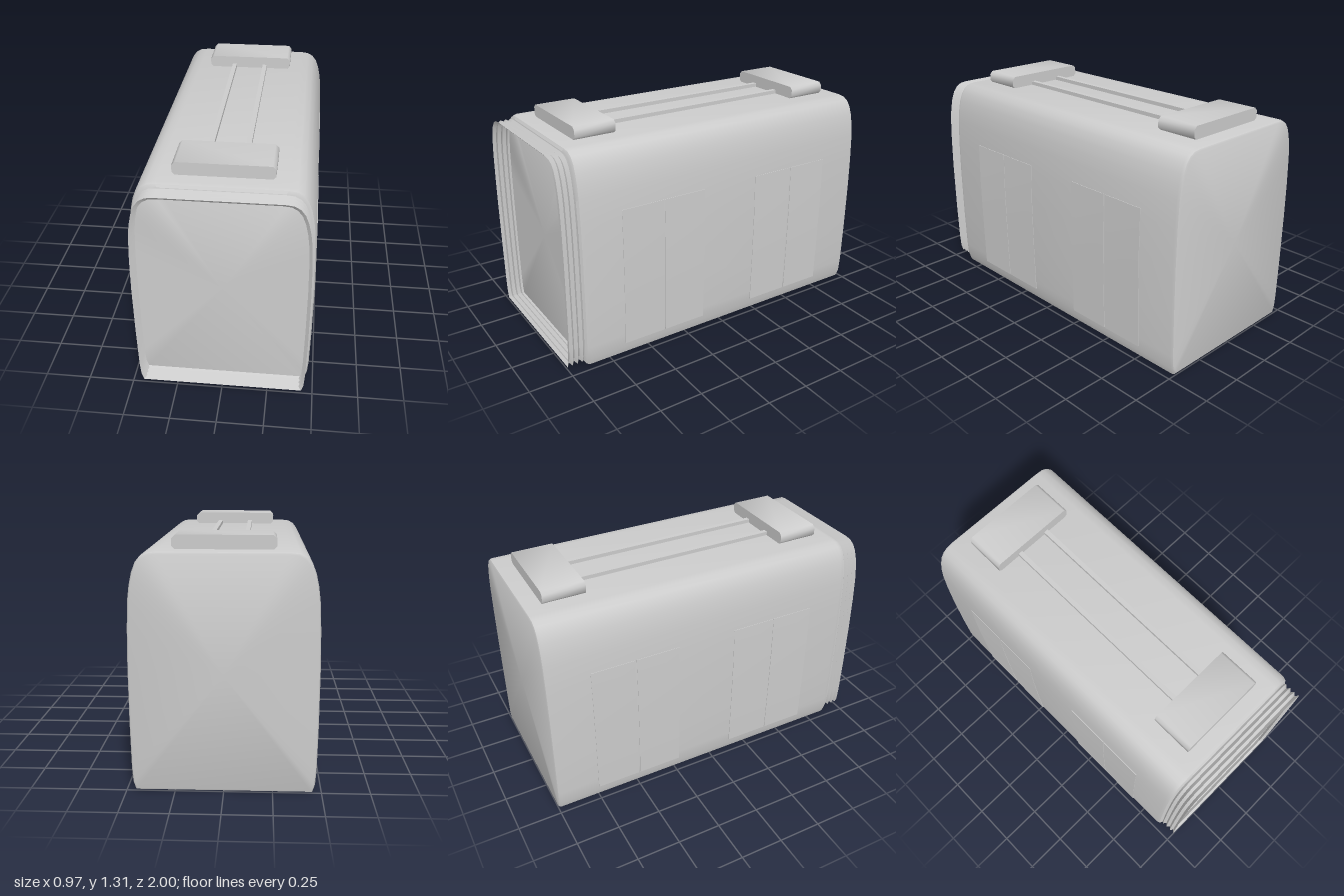
import * as THREE from 'three';
import { toCreasedNormals } from 'three/addons/utils/BufferGeometryUtils.js';

// Half cross-section of the car, from floor edge to roof edge: [x, y]
const HALF = [
  [0.455, 0], [0.468, 0.04], [0.474, 0.12], [0.479, 0.35], [0.481, 0.65],
  [0.478, 0.85], [0.471, 1.0], [0.462, 1.07], [0.449, 1.13], [0.43, 1.18],
  [0.405, 1.212], [0.372, 1.23], [0.33, 1.235],
];
const MID = 0.6175;

// Closed ring of the cross-section, moved inward by `inset`
function ring(inset) {
  const kx = 1 - inset / 0.481, ky = 1 - inset / MID;
  const right = HALF.map(([x, y]) => [x * kx, MID + (y - MID) * ky]);
  return [...right, ...right.map(([x, y]) => [-x, y]).reverse()];
}

// Skin through rings given as [z, inset], ordered back to front
function loft(sections, capped) {
  const pos = [], index = [], n = HALF.length * 2;
  for (const [z, inset] of sections) for (const [x, y] of ring(inset)) pos.push(x, y, z);
  for (let i = 0; i < sections.length - 1; i++) {
    for (let j = 0; j < n; j++) {
      const a = i * n + j, b = i * n + (j + 1) % n;
      index.push(a, b, b + n, a, b + n, a + n);
    }
  }
  if (capped) {
    const last = (sections.length - 1) * n, c = pos.length / 3;
    pos.push(0, MID, sections[0][0], 0, MID, sections.at(-1)[0]);
    for (let j = 0; j < n; j++) {
      const k = (j + 1) % n;
      index.push(c, k, j, c + 1, last + j, last + k);
    }
  }
  const g = new THREE.BufferGeometry();
  g.setAttribute('position', new THREE.Float32BufferAttribute(pos, 3));
  g.setIndex(index);
  return toCreasedNormals(g, 0.6);
}

// Thin door leaf that follows the curve of the side wall
function doorLeaf(z0, z1) {
  const shape = new THREE.Shape();
  const outer = [[0.477, 0.07], [0.479, 0.2], [0.482, 0.4], [0.484, 0.65], [0.479, 0.89]];
  shape.moveTo(0.47, 0.07);
  outer.forEach(([x, y]) => shape.lineTo(x, y));
  shape.lineTo(0.472, 0.89);
  const g = new THREE.ExtrudeGeometry(shape, { depth: z1 - z0, bevelEnabled: false });
  return toCreasedNormals(g.translate(0, 0, z0), 0.4);
}

export function createModel() {
  const model = new THREE.Group();
  const grey = new THREE.MeshStandardMaterial({ color: 0xcccccc, side: THREE.DoubleSide });
  grey.name = 'grey';
  const add = (name, geometry) => {
    const mesh = new THREE.Mesh(geometry, grey);
    mesh.name = name;
    model.add(mesh);
    return mesh;
  };

  // Car body with softened ends
  add('body', loft([
    [-1, 0.013], [-0.995, 0.005], [-0.98, 0], [0.87, 0], [0.89, 0.006], [0.9, 0.02],
  ], true));

  // Open pleated gangway at the front
  const pleats = [[0.895, 0.03]];
  for (let i = 0; i < 4; i++) {
    pleats.push([0.91 + i * 0.03, 0.018]);
    if (i < 3) pleats.push([0.925 + i * 0.03, 0.034]);
  }
  add('gangwayBellows', loft(pleats, false));

  // Two double doors on each side
  const leaves = [[0.13, 0.392], [0.396, 0.655], [-0.75, -0.494], [-0.484, -0.225]];
  for (const [z0, z1] of leaves) {
    add('leftDoorLeaf', doorLeaf(z0, z1));
    // turned half round for the other side, so the z range is negated
    add('rightDoorLeaf', doorLeaf(-z1, -z0)).rotation.y = Math.PI;
  }

  // Roof equipment boxes with chamfered long edges
  const box = new THREE.Shape();
  const hw = 0.26, y0 = 1.232, y1 = 1.306, c = 0.018;
  box.moveTo(-hw + c, y0);
  box.lineTo(hw - c, y0);
  box.lineTo(hw, y0 + c);
  box.lineTo(hw, y1 - c);
  box.lineTo(hw - c, y1);
  box.lineTo(-hw + c, y1);
  box.lineTo(-hw, y1 - c);
  box.lineTo(-hw, y0 + c);
  for (const z of [-0.9, 0.56]) {
    const g = new THREE.ExtrudeGeometry(box, { depth: 0.24, bevelEnabled: false });
    add('roofUnit', toCreasedNormals(g.translate(0, 0, z), 0.9));
  }

  // Conduits joining the roof boxes
  for (const x of [-0.102, 0.096]) {
    add('roofConduit', new THREE.BoxGeometry(0.027, 0.028, 1.22)).position.set(x, 1.243, -0.05);
  }
  return model;
}
